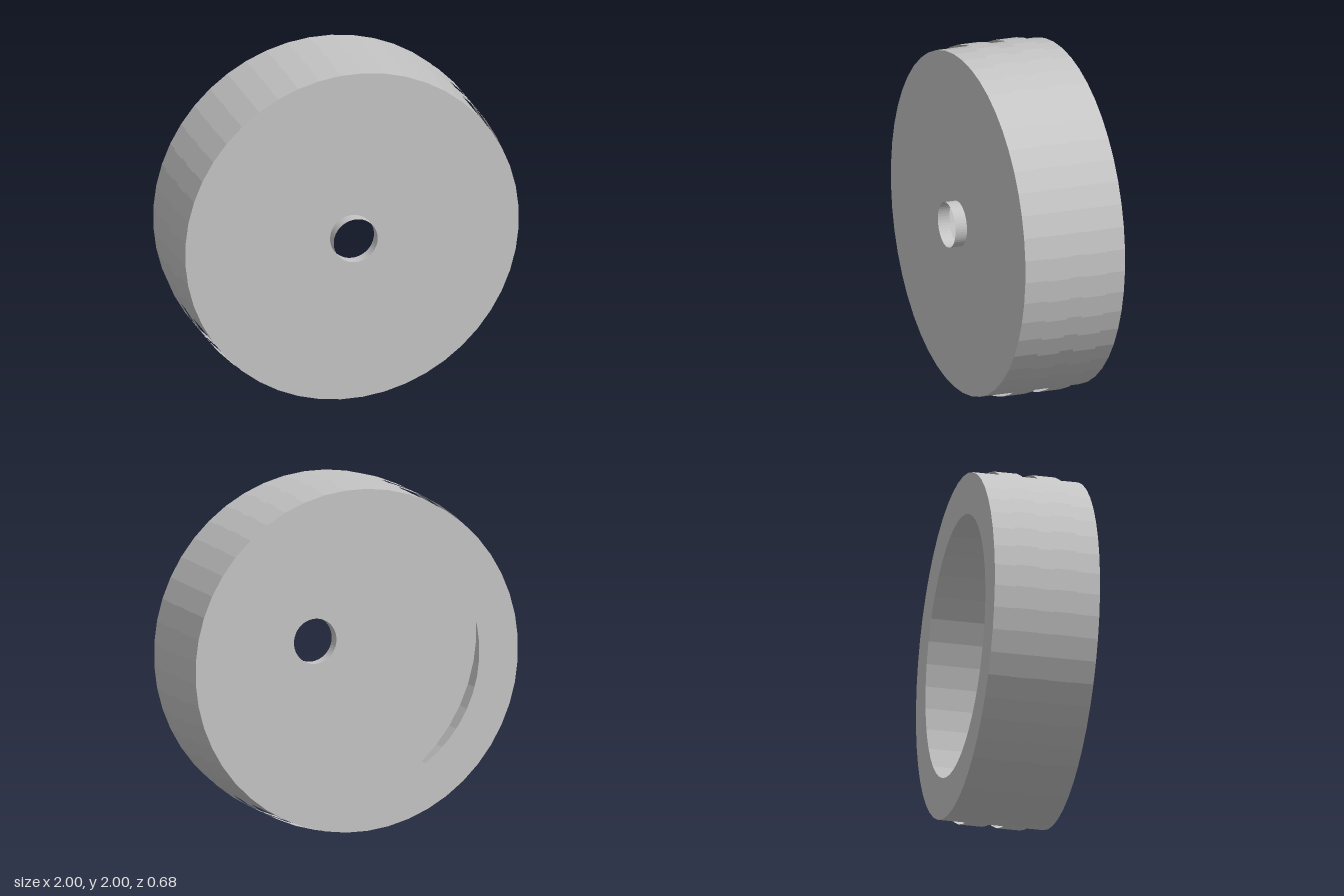
import * as THREE from 'three';

const SIDES = 48;
const HALF_STEP = Math.PI / SIDES; // puts a flat facet at top, bottom and sides
const FRONT = 0.27, BACK = -0.34;
const BODY_R = 0.987, HUB_R = 0.13, BACK_HOLE_R = 0.75;

export function createModel() {
  const model = new THREE.Group();
  const grey = new THREE.MeshStandardMaterial({ color: 0xc4c4c4, flatShading: true, side: THREE.DoubleSide });
  grey.name = 'light grey';

  const add = (name, geometry, parent = model) => {
    const mesh = new THREE.Mesh(geometry, grey);
    mesh.name = name;
    parent.add(mesh);
    return mesh;
  };

  // Open faceted band around the z axis, from z0 to z1
  const band = (radius, z0, z1) =>
    new THREE.CylinderGeometry(radius, radius, z1 - z0, SIDES, 1, true, HALF_STEP)
      .rotateX(Math.PI / 2)
      .translate(0, 0, (z0 + z1) / 2);

  // Flat annulus facing front at height z
  const ring = (inner, outer, z) =>
    new THREE.RingGeometry(inner, outer, SIDES, 1, HALF_STEP).translate(0, 0, z);

  model.position.y = 1;

  // Hollow wheel shell: side wall, front disc, back lip
  add('sideWall', band(BODY_R, BACK, FRONT));
  add('frontDisc', ring(HUB_R, BODY_R, FRONT));
  add('backLip', ring(BACK_HOLE_R, BODY_R, BACK).rotateY(Math.PI).translate(0, 0, 2 * BACK));

  // Hub collar in front of the axle hole
  add('hubCollar', band(HUB_R, FRONT, 0.34));

  // Two raised tread bands
  add('frontTread', band(1.002, 0, 0.135));
  add('rearTread', band(1.002, -0.22, -0.085));

  // Ten tapered spokes laid on the front disc
  const spokes = new THREE.Group();
  spokes.name = 'spokes';
  const wedge = new THREE.Shape([
    new THREE.Vector2(0.305, -0.0125),
    new THREE.Vector2(0.71, -0.03),
    new THREE.Vector2(0.71, 0.03),
    new THREE.Vector2(0.305, 0.0125),
  ]);
  const wedgeGeometry = new THREE.ShapeGeometry(wedge).translate(0, 0, FRONT + 0.002);
  for (let i = 0; i < 10; i++) {
    add('spoke', wedgeGeometry, spokes).rotation.z = (i * Math.PI) / 5;
  }
  model.add(spokes);

  const root = new THREE.Group();
  root.name = 'wheel';
  model.name = 'wheelBody';
  root.add(model);
  return root;
}
